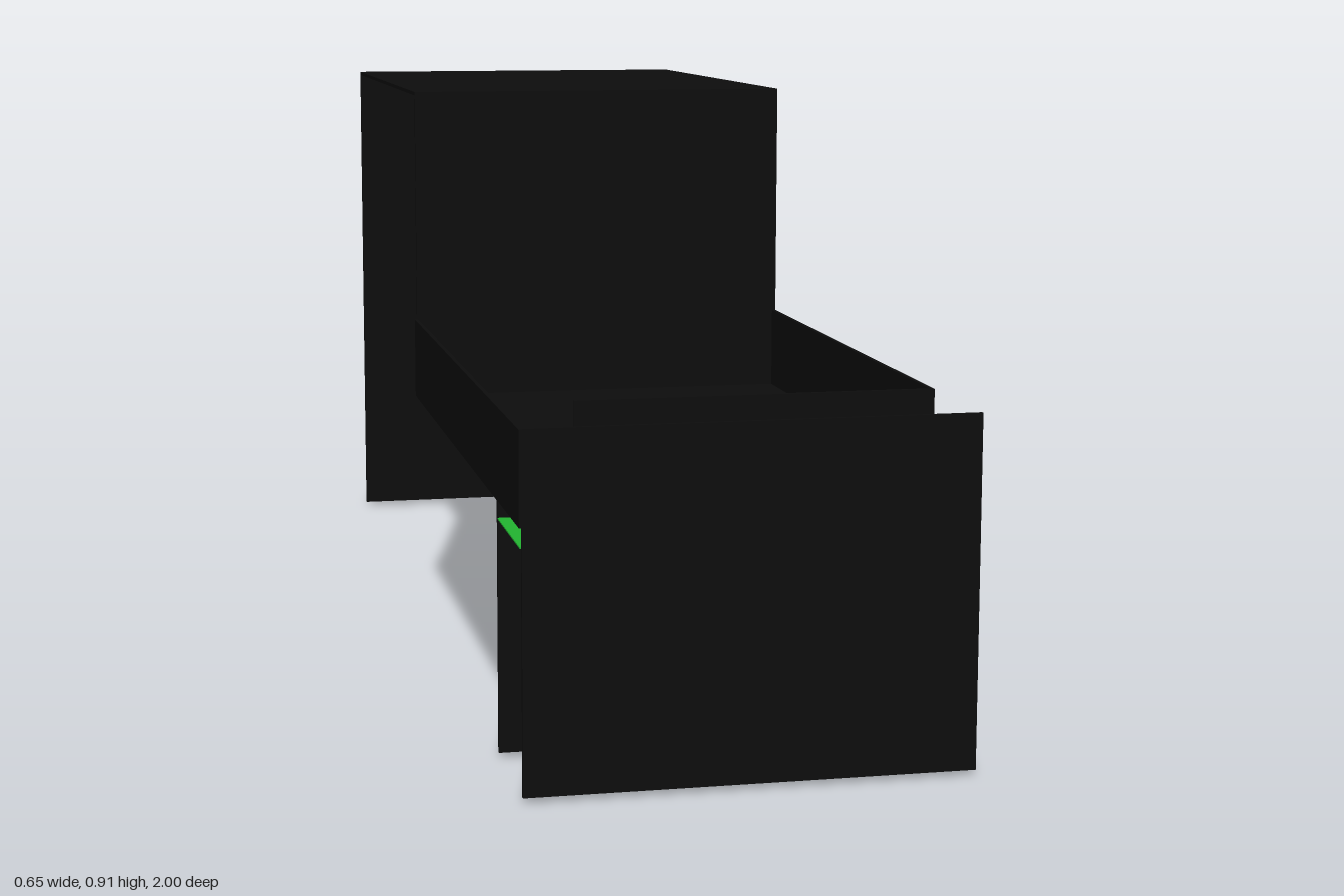
import * as THREE from 'three';

const T = 0.006; // wall thickness
const L = -0.32, R = 0.32; // side limits in x
const BASE = 0.008, FLOOR = 0.38, LOW = 0.513, HIGH = 0.905;
const STEP_Z = -0.1, INNER_Z = 0.79;

const paint = (color) => new THREE.MeshStandardMaterial({ color, side: THREE.DoubleSide });

export function createModel() {
  const model = new THREE.Group();
  const black = paint(0x0d0d0d), green = paint(0x22b431), purple = paint(0x4a1766);

  // Box given by its limits along each axis
  function box(name, material, x0, x1, y0, y1, z0, z1, parent = model) {
    const mesh = new THREE.Mesh(new THREE.BoxGeometry(x1 - x0, y1 - y0, z1 - z0), material);
    mesh.position.set((x0 + x1) / 2, (y0 + y1) / 2, (z0 + z1) / 2);
    mesh.name = name;
    parent.add(mesh);
    return mesh;
  }

  // Upright sheet cut from an outline
  function panel(name, points, hole) {
    const shape = new THREE.Shape(points.map(([a, b]) => new THREE.Vector2(a, b)));
    if (hole) shape.holes.push(new THREE.Path(hole.map(([a, b]) => new THREE.Vector2(a, b))));
    const mesh = new THREE.Mesh(
      new THREE.ExtrudeGeometry(shape, { depth: T, bevelEnabled: false }), black);
    mesh.name = name;
    model.add(mesh);
    return mesh;
  }

  // Stepped side wall with a doorway; outline runs along -z
  const d0 = -0.495, d1 = -0.388, doorTop = 0.262;
  const side = panel('sideWall', [
    [-INNER_Z, BASE], [1, BASE], [1, HIGH], [-STEP_Z, HIGH], [-STEP_Z, LOW], [-INNER_Z, LOW],
  ], [[d0, BASE + 0.001], [d0, doorTop], [d1, doorTop], [d1, BASE + 0.001]]);
  side.rotation.y = Math.PI / 2;
  side.position.x = R - T;

  // Door and its thin frame
  box('door', purple, R - 0.005, R + 0.001, 0.005, doorTop, 0.388, 0.495);
  const frame = new THREE.Group();
  frame.name = 'doorFrame';
  model.add(frame);
  for (const z of [0.382, 0.495]) box('jamb', black, R - T, R + 0.004, 0, doorTop, z, z + 0.006, frame);
  box('lintel', black, R - T, R + 0.004, doorTop, doorTop + 0.005, 0.382, 0.501, frame);

  // Tall rear block, open on one side and below
  box('rearWall', black, L, R, BASE, HIGH, -1, -1 + T);
  box('rearRoof', black, L, R, HIGH - T, HIGH, -1, STEP_Z);
  box('upperFrontWall', black, L, R, FLOOR, HIGH, STEP_Z - T, STEP_Z);

  // Terrace with its parapet and the wall along the stairs, notched at the landing
  box('terraceFloor', black, L, R, FLOOR - T, FLOOR, STEP_Z, INNER_Z);
  box('parapet', black, L - 0.004, L + 0.002, FLOOR, LOW, STEP_Z, 1);
  const inner = panel('stairWall', [
    [L, BASE], [R, BASE], [R, LOW], [-0.21, LOW], [-0.21, FLOOR], [L, FLOOR],
  ]);
  inner.position.z = INNER_Z - T;

  // Outer front wall
  box('frontWall', black, L, R, BASE, LOW, 0.992, 0.998);

  // Staircase of thin treads and risers, climbing towards the landing
  const stairs = new THREE.Group();
  stairs.name = 'stairs';
  model.add(stairs);
  const count = 11, rise = (0.35 - BASE) / count, run = 0.053, z0 = INNER_Z, z1 = 0.982;
  for (let i = 0; i < count; i++) {
    const x = 0.312 - i * run, y = BASE + i * rise;
    const back = i === count - 1 ? L : x - run;
    box('riser', green, x - 0.002, x, y, y + rise, z0, z1, stairs);
    box('tread', green, back, x, y + rise - 0.002, y + rise, z0, z1, stairs);
  }
  return model;
}
